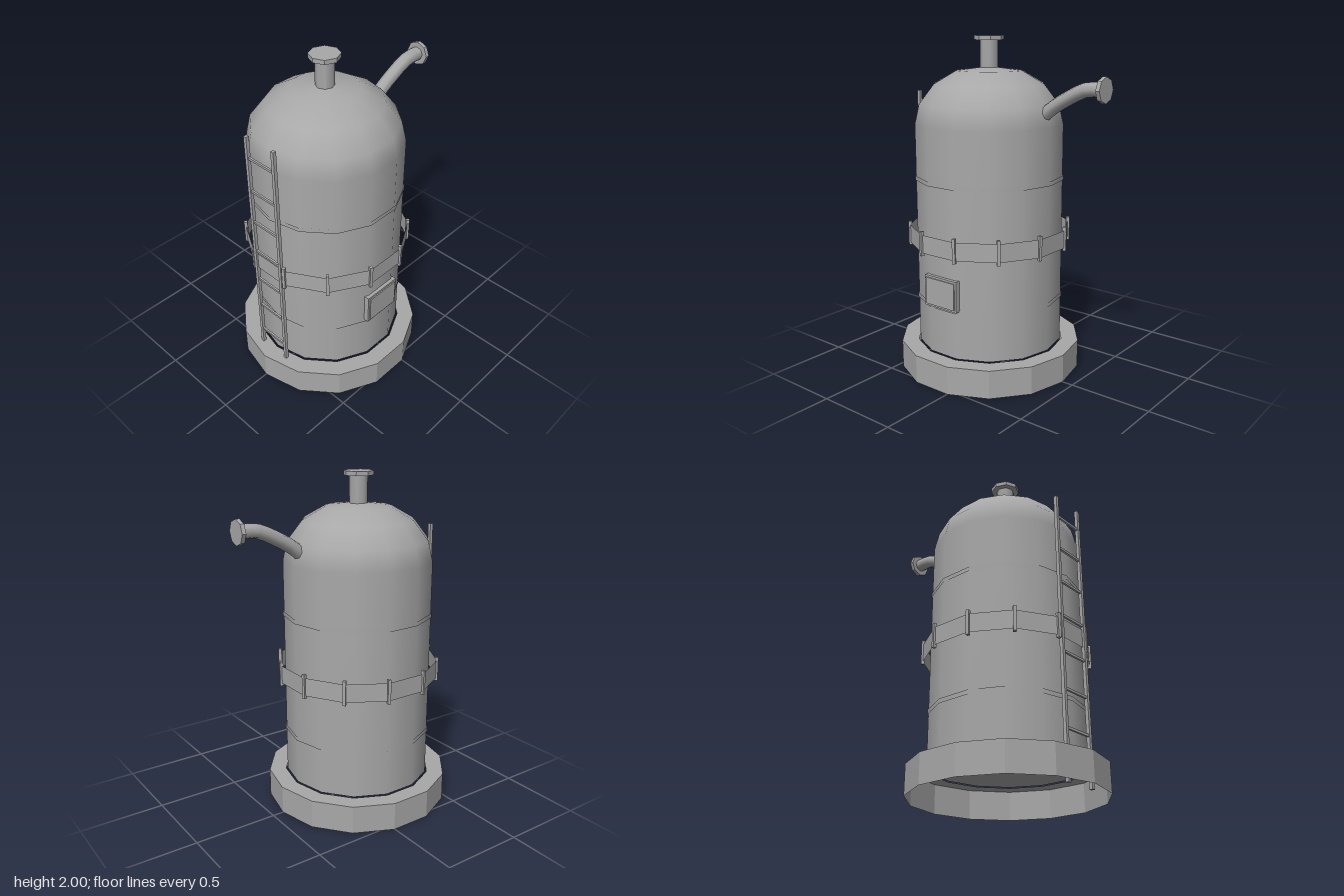
import * as THREE from 'three';

const grey = new THREE.MeshStandardMaterial({ color: 0xa8a8a8, side: THREE.DoubleSide });
grey.name = 'plainGrey';
const flatGrey = grey.clone(); // same colour, faceted parts
flatGrey.flatShading = true;

export function createModel() {
  const model = new THREE.Group();
  model.name = 'storageTank';
  const tank = new THREE.Group(); // everything centred on the tank axis
  tank.name = 'tank';
  tank.position.x = -0.12;
  model.add(tank);

  const add = (parent, name, geometry, x = 0, y = 0, z = 0, material = grey) => {
    const mesh = new THREE.Mesh(geometry, material);
    mesh.name = name;
    mesh.position.set(x, y, z);
    parent.add(mesh);
    return mesh;
  };
  // Open tube with a corner pointing along +x
  const hoop = (radius, height, sides, turn = Math.PI / 2) =>
    new THREE.CylinderGeometry(radius, radius, height, sides, 1, true).rotateY(turn);

  // Hollow base: outer wall and top ring with a narrow gap around the tank
  add(tank, 'baseWall', hoop(0.553, 0.17, 14), 0, 0.085, 0, flatGrey);
  add(tank, 'baseTop', new THREE.RingGeometry(0.45, 0.553, 14).rotateX(-Math.PI / 2), 0, 0.17);

  // Tank shell with domed top
  const profile = [[0.44, 0.172], [0.44, 1.5], [0.413, 1.615], [0.325, 1.728], [0.195, 1.802], [0, 1.825]]
    .map(([r, y]) => new THREE.Vector2(r, y));
  add(tank, 'shell', new THREE.LatheGeometry(profile, 14).rotateY(Math.PI / 2));
  add(tank, 'shellBottom', new THREE.CircleGeometry(0.44, 14).rotateX(Math.PI / 2), 0, 0.172);

  // Thin seam bands
  for (const y of [0.463, 1.186]) add(tank, 'seamBand', hoop(0.446, 0.026, 14), 0, y);

  // Twelve-sided belt with a clamp on every corner
  add(tank, 'belt', hoop(0.482, 0.108, 12, Math.PI / 12), 0, 0.835, 0, flatGrey);
  for (let i = 0; i < 12; i++) {
    const a = (i + 0.5) * Math.PI / 6;
    const clamp = add(tank, 'beltClamp', new THREE.BoxGeometry(0.02, 0.145, 0.018),
      0.481 * Math.cos(a), 0.838, 0.481 * Math.sin(a));
    clamp.rotation.y = -a;
  }

  // Top vent
  add(tank, 'ventPipe', hoop(0.053, 0.19, 8), 0, 1.885);
  add(tank, 'ventFlange', new THREE.CylinderGeometry(0.087, 0.087, 0.025, 8), 0, 1.9875, 0, flatGrey);

  // Access hatch with raised centre
  add(tank, 'hatchFrame', new THREE.BoxGeometry(0.24, 0.185, 0.03), 0, 0.558, 0.435);
  add(tank, 'hatchCover', new THREE.BoxGeometry(0.215, 0.16, 0.007), 0, 0.558, 0.4535);

  // Bent side pipe
  const path = new THREE.CatmullRomCurve3([[0.26, 1.555], [0.32, 1.605], [0.42, 1.665], [0.55, 1.723], [0.65, 1.727]]
    .map(([x, y]) => new THREE.Vector3(x, y, 0)));
  add(model, 'sidePipe', new THREE.TubeGeometry(path, 8, 0.04, 8));
  add(model, 'sidePipeFlange', new THREE.CylinderGeometry(0.071, 0.071, 0.024, 8).rotateZ(Math.PI / 2),
    0.657, 1.726, 0, flatGrey);

  // Ladder
  const ladder = new THREE.Group();
  ladder.name = 'ladder';
  ladder.position.x = -0.587;
  model.add(ladder);
  for (const z of [-0.102, 0.102]) add(ladder, 'ladderRail', new THREE.BoxGeometry(0.02, 1.67, 0.02), 0, 0.835, z);
  for (let i = 0; i < 8; i++) add(ladder, 'ladderRung', new THREE.BoxGeometry(0.012, 0.014, 0.19), 0, 1.54 - 0.21 * i);

  return model;
}
